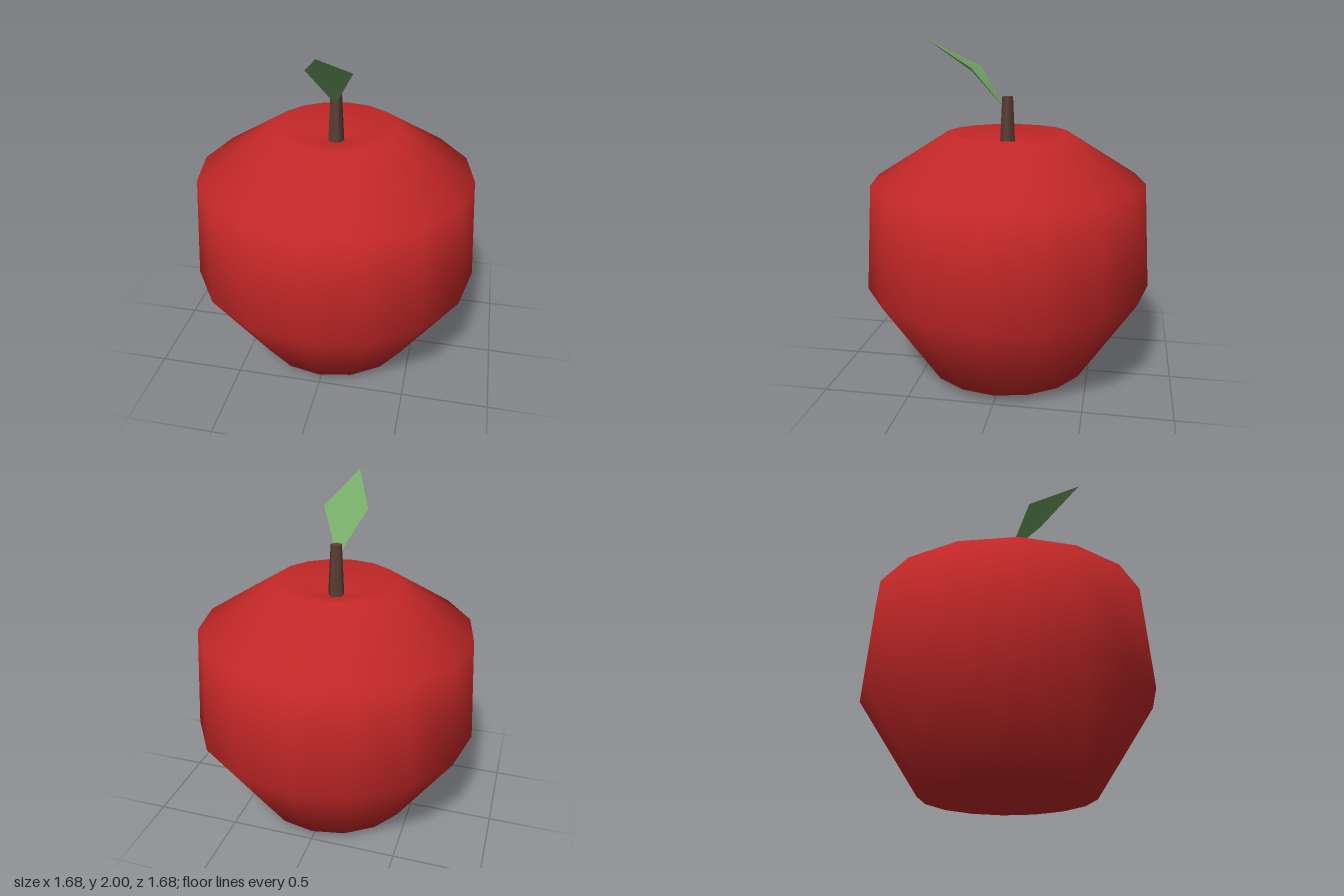
import * as THREE from 'three';

const material = (name, color, extra = {}) => {
  const m = new THREE.MeshStandardMaterial({ color, ...extra });
  m.name = name;
  return m;
};

export function createModel() {
  const red = material('red skin', 0xc62828);
  const brown = material('brown stem', 0x5d4037);
  const green = material('green leaf', 0x76aa68, { side: THREE.DoubleSide });

  const model = new THREE.Group();
  model.name = 'apple';
  const add = (name, geometry, mat) => {
    const mesh = new THREE.Mesh(geometry, mat);
    mesh.name = name;
    model.add(mesh);
    return mesh;
  };

  // Fruit: coarse smooth-shaded profile with a dimple at the top
  const profile = [[0, 0], [0.49, 0.05], [0.84, 0.58], [0.8, 1.195], [0.355, 1.475], [0, 1.37]]
    .map(([r, y]) => new THREE.Vector2(r, y));
  add('fruit', new THREE.LatheGeometry(profile, 16), red);

  // Stem: tapered five-sided post standing in the dimple
  const stem = add('stem', new THREE.CylinderGeometry(0.033, 0.05, 0.33, 5), brown);
  stem.rotation.y = Math.PI / 2;
  stem.position.y = 1.515;

  // Leaf: diamond bent across the middle, with a slightly sunken centre
  const corners = [
    0, 1.82, 0.21, // centre
    0, 1.6, 0.01, // base
    -0.13, 1.843, 0.185,
    0, 2, 0.475, // tip
    0.13, 1.843, 0.185,
  ];
  const leaf = new THREE.BufferGeometry();
  leaf.setAttribute('position', new THREE.Float32BufferAttribute(corners, 3));
  leaf.setIndex([0, 1, 2, 0, 2, 3, 0, 3, 4, 0, 4, 1]);
  leaf.computeVertexNormals();
  add('leaf', leaf, green);

  return model;
}
